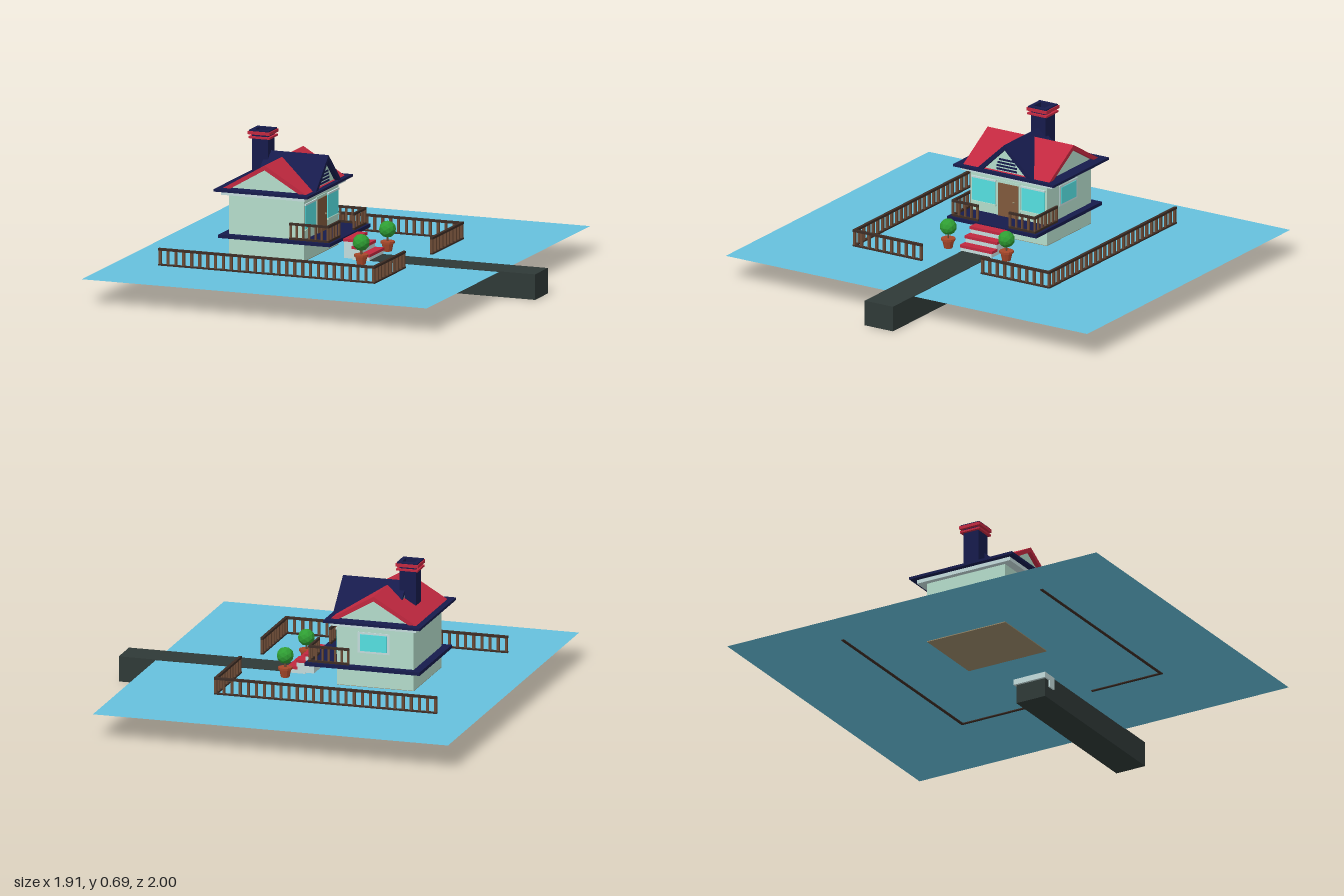
import * as THREE from 'three';

const C = {
  water: 0x66c0dd, navy: 0x161b4c, red: 0xc1283f, mint: 0xb4dccb, pale: 0xc4dcdc, road: 0x2f3937,
  rail: 0x3d2d25, baluster: 0x6b4a35, door: 0x80593c, glass: 0x55dfe0, leaf: 0x2f9e33, pot: 0xa8482a, tan: 0x9a8a6a,
};
const mats = {};
const mat = (name) => (mats[name] ??= new THREE.MeshStandardMaterial({ color: C[name], flatShading: true, side: THREE.DoubleSide }));
const CZ = 0.035; // centre line of house, path and fence

export function createModel() {
  const root = new THREE.Group();

  const group = (name, parent = root) => {
    const g = new THREE.Group();
    g.name = name;
    parent.add(g);
    return g;
  };
  const add = (parent, name, geo, color) => {
    const m = new THREE.Mesh(geo, mat(color));
    m.name = name;
    parent.add(m);
    return m;
  };
  // box given by its extents
  const box = (parent, name, color, x0, x1, y0, y1, z0, z1) => {
    const m = add(parent, name, new THREE.BoxGeometry(x1 - x0, y1 - y0, z1 - z0), color);
    m.position.set((x0 + x1) / 2, (y0 + y1) / 2, (z0 + z1) / 2);
    return m;
  };
  const prism = (points, depth) =>
    new THREE.ExtrudeGeometry(new THREE.Shape(points.map((p) => new THREE.Vector2(...p))), { depth, bevelEnabled: false });

  // railing between two ground points
  const railing = (parent, name, x0, z0, x1, z1, y, height, spacing, w) => {
    const g = group(name, parent);
    const len = Math.hypot(x1 - x0, z1 - z0);
    g.position.set(x0, y, z0);
    g.rotation.y = -Math.atan2(z1 - z0, x1 - x0);
    const r = w / 2;
    box(g, 'bottomRail', 'rail', -r, len + r, 0, 0.011, -r, r);
    box(g, 'topRail', 'rail', -r, len + r, height - 0.011, height, -r, r);
    const n = Math.max(1, Math.round(len / spacing));
    for (let i = 0; i <= n; i++) {
      const c = (len * i) / n;
      box(g, 'baluster', 'baluster', c - w * 0.42, c + w * 0.42, 0.005, height - 0.005, -w * 0.42, w * 0.42);
    }
  };

  // Water sheet
  const water = add(root, 'water', new THREE.PlaneGeometry(1.73, 2), 'water');
  water.rotation.x = -Math.PI / 2;
  water.position.set(-0.095, 0.118, 0);

  // Causeway
  box(root, 'path', 'road', 0.05, 0.95, 0, 0.121, -0.042, 0.114);

  // Garden fence, mirrored about the centre line
  const fence = group('fence');
  for (const s of [-1, 1]) {
    railing(fence, 'sideFence', -0.742, CZ + s * 0.538, 0.33, CZ + s * 0.538, 0.114, 0.086, 0.04, 0.014);
    railing(fence, 'frontFence', 0.33, CZ + s * 0.17, 0.33, CZ + s * 0.538, 0.114, 0.086, 0.04, 0.014);
  }

  // Walls, floor and deck
  const house = group('house');
  box(house, 'floor', 'tan', -0.53, -0.155, 0.114, 0.12, -0.176, 0.246);
  box(house, 'walls', 'mint', -0.53, -0.155, 0.12, 0.42, -0.176, 0.246);
  box(house, 'deck', 'navy', -0.57, -0.01, 0.205, 0.221, -0.212, 0.282);
  box(house, 'cornice', 'pale', -0.555, -0.135, 0.412, 0.431, -0.217, 0.287);
  box(house, 'eaves', 'navy', -0.58, -0.11, 0.43, 0.442, -0.243, 0.313);

  // Door and windows
  box(house, 'doorFrame', 'mint', -0.156, -0.152, 0.221, 0.395, -0.03, 0.1);
  box(house, 'door', 'door', -0.156, -0.148, 0.221, 0.382, -0.02, 0.09);
  const knob = add(house, 'doorKnob', new THREE.SphereGeometry(0.005, 8, 6), 'tan');
  knob.position.set(-0.145, 0.3, 0.002);
  for (const s of [-1, 1]) {
    const c = CZ + s * 0.136;
    box(house, 'frontWindow', 'glass', -0.156, -0.151, 0.27, 0.382, c - 0.064, c + 0.064);
    box(house, 'windowSill', 'mint', -0.156, -0.147, 0.262, 0.27, c - 0.068, c + 0.068);
    box(house, 'windowHead', 'pale', -0.156, -0.147, 0.382, 0.39, c - 0.068, c + 0.068);
  }
  box(house, 'sideWindowFrame', 'pale', -0.412, -0.258, 0.282, 0.382, -0.179, -0.175);
  box(house, 'sideWindow', 'glass', -0.4, -0.27, 0.292, 0.372, -0.182, -0.175);

  // Main roof: chevron slab with recessed gable walls
  const roof = group('roof', house);
  const main = add(roof, 'mainRoof', prism([
    [-0.552, 0.441], [-0.515, 0.441], [-0.342, 0.542], [-0.169, 0.441], [-0.132, 0.441], [-0.342, 0.565],
  ], 0.476), 'red');
  main.position.z = -0.203;
  const gable = add(roof, 'mainGable', prism([[-0.525, 0.441], [-0.159, 0.441], [-0.342, 0.547]], 0.436), 'mint');
  gable.position.z = -0.183;

  // Cross gable facing the path
  const cross = group('crossGable', roof);
  cross.position.set(-0.43, 0, CZ);
  cross.rotation.y = Math.PI / 2;
  add(cross, 'crossRoof', prism([
    [-0.155, 0.441], [-0.125, 0.441], [0, 0.561], [0.125, 0.441], [0.155, 0.441], [0, 0.586],
  ], 0.312), 'navy');
  add(cross, 'crossGableWall', prism([[-0.13, 0.441], [0.13, 0.441], [0, 0.566]], 0.29), 'mint');
  for (let i = 0; i < 4; i++) {
    const y = 0.452 + i * 0.016;
    const half = 0.056 - Math.max(0, i - 1) * 0.008;
    box(cross, 'ventSlat', 'navy', -half, half, y, y + 0.008, 0.288, 0.295);
  }

  // Hollow chimney with banded cap
  const chimney = group('chimney', house);
  chimney.position.set(-0.446, 0, CZ);
  const ring = (name, color, outer, inner, y0, y1) => {
    const shape = new THREE.Shape([[-1, -1], [1, -1], [1, 1], [-1, 1]].map(([a, b]) => new THREE.Vector2(a * outer, b * outer)));
    shape.holes.push(new THREE.Path([[-1, -1], [-1, 1], [1, 1], [1, -1]].map(([a, b]) => new THREE.Vector2(a * inner, b * inner))));
    const m = add(chimney, name, new THREE.ExtrudeGeometry(shape, { depth: y1 - y0, bevelEnabled: false }), color);
    m.rotation.x = -Math.PI / 2;
    m.position.y = y0;
  };
  box(chimney, 'stack', 'navy', -0.04, 0.04, 0.44, 0.645, -0.04, 0.04);
  ring('stackTop', 'navy', 0.04, 0.03, 0.645, 0.68);
  ring('lowerBand', 'red', 0.053, 0.035, 0.646, 0.655);
  ring('upperBand', 'red', 0.055, 0.035, 0.665, 0.68);
  ring('capRim', 'navy', 0.05, 0.03, 0.68, 0.686);

  // Porch railings either side of the steps
  const porch = group('porchRailing', house);
  for (const s of [-1, 1]) {
    const side = CZ + s * 0.226;
    railing(porch, 'porchSide', -0.215, side, -0.028, side, 0.22, 0.081, 0.031, 0.011);
    railing(porch, 'porchFront', -0.028, CZ + s * 0.09, -0.028, side, 0.22, 0.081, 0.031, 0.011);
  }

  // Three steps down to the path
  const steps = group('steps');
  for (let i = 0; i < 3; i++) {
    const x = -0.004 + i * 0.042;
    const top = 0.216 - i * 0.033;
    box(steps, 'stepBlock', 'pale', x, x + 0.042, top - 0.092, top - 0.012, CZ - 0.086, CZ + 0.086);
    box(steps, 'tread', 'red', x - 0.004, x + 0.045, top - 0.013, top, CZ - 0.089, CZ + 0.089);
  }

  // Potted topiaries
  for (const s of [-1, 1]) {
    const plant = group('topiary');
    plant.position.set(0.112, 0.118, CZ + s * 0.161);
    add(plant, 'pot', new THREE.CylinderGeometry(0.029, 0.02, 0.042, 10), 'pot').position.y = 0.021;
    add(plant, 'potRim', new THREE.CylinderGeometry(0.034, 0.034, 0.01, 10), 'pot').position.y = 0.043;
    add(plant, 'trunk', new THREE.CylinderGeometry(0.005, 0.005, 0.05, 6), 'baluster').position.y = 0.06;
    add(plant, 'foliage', new THREE.IcosahedronGeometry(0.04, 1), 'leaf').position.y = 0.104;
  }

  return root;
}
